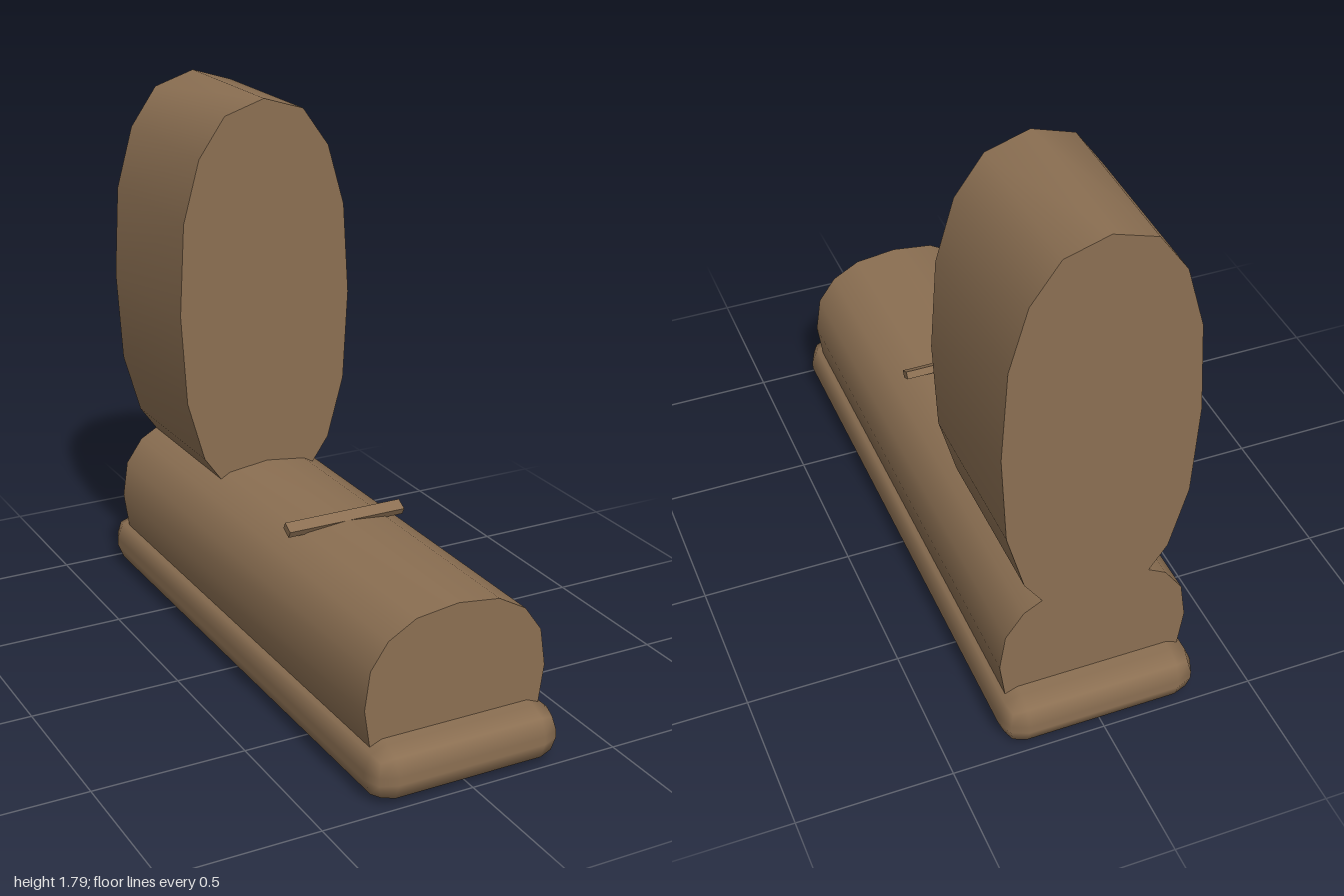
import * as THREE from 'three';
import { toCreasedNormals } from 'three/addons/utils/BufferGeometryUtils.js';
import { RoundedBoxGeometry } from 'three/addons/geometries/RoundedBoxGeometry.js';

// One quarter of the shared oval profile: half width, and height as a fraction of the radius
const QUARTER = [[0, 1], [0.14, 0.935], [0.232, 0.745], [0.29, 0.445], [0.308, 0]];

// Faceted oval, smooth round the side and sharp at the flat ends
function ovalPrism(centerY, radiusY, zBack, zFront) {
  const right = [
    ...QUARTER,
    ...QUARTER.slice(0, -1).reverse().map(([x, y]) => [x, -y]),
  ];
  const left = right.slice(1, -1).reverse().map(([x, y]) => [-x, y]);
  const outline = [...right, ...left].map(([x, y]) => new THREE.Vector2(x, centerY + y * radiusY));
  const geometry = new THREE.ExtrudeGeometry(new THREE.Shape(outline), {
    depth: zFront - zBack,
    bevelEnabled: false,
  });
  geometry.translate(0, 0, zBack);
  return toCreasedNormals(geometry, 1.05);
}

export function createModel() {
  const model = new THREE.Group();
  const brown = new THREE.MeshStandardMaterial({ color: 0x8b6f52 });
  brown.name = 'brown';

  function add(name, geometry) {
    const mesh = new THREE.Mesh(geometry, brown);
    mesh.name = name;
    model.add(mesh);
    return mesh;
  }

  // Rounded plinth
  add('base', new RoundedBoxGeometry(0.65, 0.175, 2, 1, 0.075)).position.y = 0.0875;

  // Long low body sunk into the base
  add('body', ovalPrism(0.28, 0.274, -0.895, 0.895));

  // Tall oval block at the back
  add('upright', ovalPrism(1.11, 0.685, -0.895, -0.345));

  // Thin tilted crossbar on top of the body
  const bar = add('crossbar', new THREE.BoxGeometry(0.41, 0.025, 0.041));
  bar.position.set(0, 0.552, 0.205);
  bar.rotation.x = 0.5;

  return model;
}
